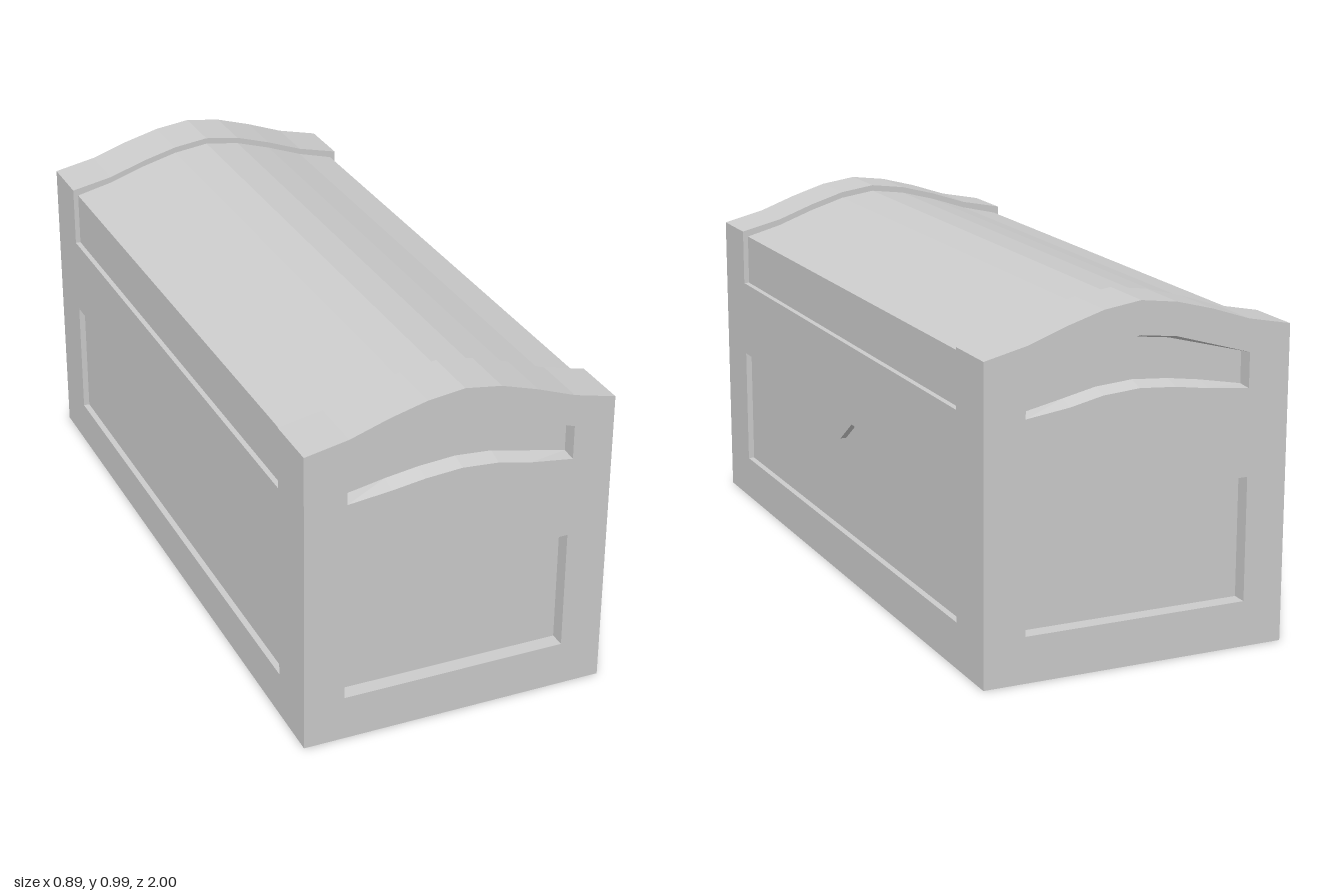
import * as THREE from 'three';

const material = new THREE.MeshStandardMaterial({ color: 0xcccccc, flatShading: true });
const R = 0.442, L = -0.445;      // side planes
const END = 0.83, LEDGE = 0.71;   // lid half length and lower edge

// Flat-shaded mesh from a list of triangle corners
function meshFrom(name, points) {
  const geometry = new THREE.BufferGeometry().setFromPoints(points);
  geometry.computeVertexNormals();
  const mesh = new THREE.Mesh(geometry, material);
  mesh.name = name;
  return mesh;
}

const quad = (out, a, b, c, d) => out.push(a, b, c, a, c, d);
const rect = (u0, v0, u1, v1) => [[u0, v0], [u1, v0], [u1, v1], [u0, v1]];
const mirror = (pts) => pts.map(([u, v]) => [-u, v]).reverse();

// Wall with sunken panels; place(u, v, d) puts a point in space, d is outward
function panelledWall(name, outline, recesses, place) {
  const out = [];
  const fill = (contour, holes, d) => {
    const toV2 = (pts) => pts.map(([u, v]) => new THREE.Vector2(u, v));
    const c = toV2(contour), h = holes.map((pts) => toV2([...pts].reverse()));
    const all = [c, ...h].flat();
    for (const tri of THREE.ShapeUtils.triangulateShape(c, h))
      for (const i of tri) out.push(place(all[i].x, all[i].y, d));
  };
  fill(outline, recesses.map((r) => r.rim), 0);
  for (const { rim, floor = rim, depth } of recesses) {
    fill(floor, [], -depth);
    rim.forEach((a, i) => {
      const j = (i + 1) % rim.length;
      quad(out, place(...a, 0), place(...rim[j], 0),
        place(...floor[j], -depth), place(...floor[i], -depth));
    });
  }
  return meshFrom(name, out);
}

export function createModel() {
  const chest = new THREE.Group();
  chest.name = 'chest';

  // Arched profiles: the raised end caps and the slightly smaller lid
  const arch = [[0.32, 0.905], [0.21, 0.945], [0.105, 0.977], [0, 0.992],
    [-0.105, 0.978], [-0.21, 0.95], [-0.32, 0.913]];
  const capProfile = [[R, LEDGE], [R, 0.876], ...arch, [L, 0.888], [L, LEDGE]];
  const lidProfile = [[0.426, LEDGE], [0.426, 0.859],
    ...arch.map(([x, y]) => [x, y - 0.018]), [-0.43, 0.869], [-0.43, LEDGE]];

  // Lid and caps lofted along the length
  const sections = [[capProfile, 1], [capProfile, END], [lidProfile, END],
    [lidProfile, -END], [capProfile, -END], [capProfile, -1]];
  const strips = ['frontCapTop', 'frontCapStep', 'lid', 'backCapStep', 'backCapTop'];
  strips.forEach((name, s) => {
    const [[pa, za], [pb, zb]] = [sections[s], sections[s + 1]];
    const out = [];
    for (let i = 0; i < pa.length - 1; i++) {
      quad(out, new THREE.Vector3(...pa[i], za), new THREE.Vector3(...pb[i], zb),
        new THREE.Vector3(...pb[i + 1], zb), new THREE.Vector3(...pa[i + 1], za));
    }
    chest.add(meshFrom(name, out));
  });

  // Narrow ledges under the lid
  for (const [name, x0, x1] of [['leftLedge', 0.426, R], ['rightLedge', L, -0.43]]) {
    const out = [];
    const p = (x, z) => new THREE.Vector3(x, LEDGE, z);
    quad(out, p(x0, -END), p(x0, END), p(x1, END), p(x1, -END));
    chest.add(meshFrom(name, out));
  }

  // End walls with a square panel and an arched, tapered handle slot
  const endOutline = [[L, 0], [R, 0], ...capProfile.slice(1, -1)];
  const slotRim = [[-0.325, 0.724], [-0.2, 0.738], [-0.105, 0.752], [0, 0.76],
    [0.105, 0.752], [0.2, 0.731], [0.325, 0.714], [0.325, 0.812],
    [0.105, 0.883], [0, 0.9], [-0.105, 0.887], [-0.325, 0.822]];
  const slotFloor = slotRim.map(([x, y], i) => {
    const inset = Math.abs(x) > 0.3 ? 0.003 : 0.013;
    return [x, y + (i < 7 ? inset : -inset)];
  });
  const endPanel = rect(-0.328, 0.13, 0.322, 0.48);
  chest.add(panelledWall('frontWall', endOutline, [
    { rim: endPanel, depth: 0.045 },
    { rim: slotRim, floor: slotFloor, depth: 0.045 },
  ], (u, v, d) => new THREE.Vector3(u, v, 1 + d)));
  chest.add(panelledWall('backWall', mirror(endOutline), [
    { rim: mirror(endPanel), depth: 0.045 },
    { rim: mirror(slotRim), floor: mirror(slotFloor), depth: 0.045 },
  ], (u, v, d) => new THREE.Vector3(-u, v, -1 - d)));

  // Long walls; one panel has a V notch in its upper edge
  const sideOutline = rect(-1, 0, 1, LEDGE);
  const notched = [[-END, 0.13], [END, 0.13], [END, 0.48], [0.09, 0.48],
    [0, 0.415], [-0.09, 0.48], [-END, 0.48]];
  chest.add(panelledWall('leftWall', sideOutline, [{ rim: notched, depth: 0.018 }],
    (u, v, d) => new THREE.Vector3(R + d, v, -u)));
  chest.add(panelledWall('rightWall', sideOutline,
    [{ rim: rect(-END, 0.13, END, 0.48), depth: 0.018 }],
    (u, v, d) => new THREE.Vector3(L - d, v, u)));

  // Underside with a shallow panel
  chest.add(panelledWall('base', rect(L, -1, R, 1),
    [{ rim: rect(-0.325, -END, 0.322, END), depth: 0.025 }],
    (u, v, d) => new THREE.Vector3(u, -d, v)));

  return chest;
}
